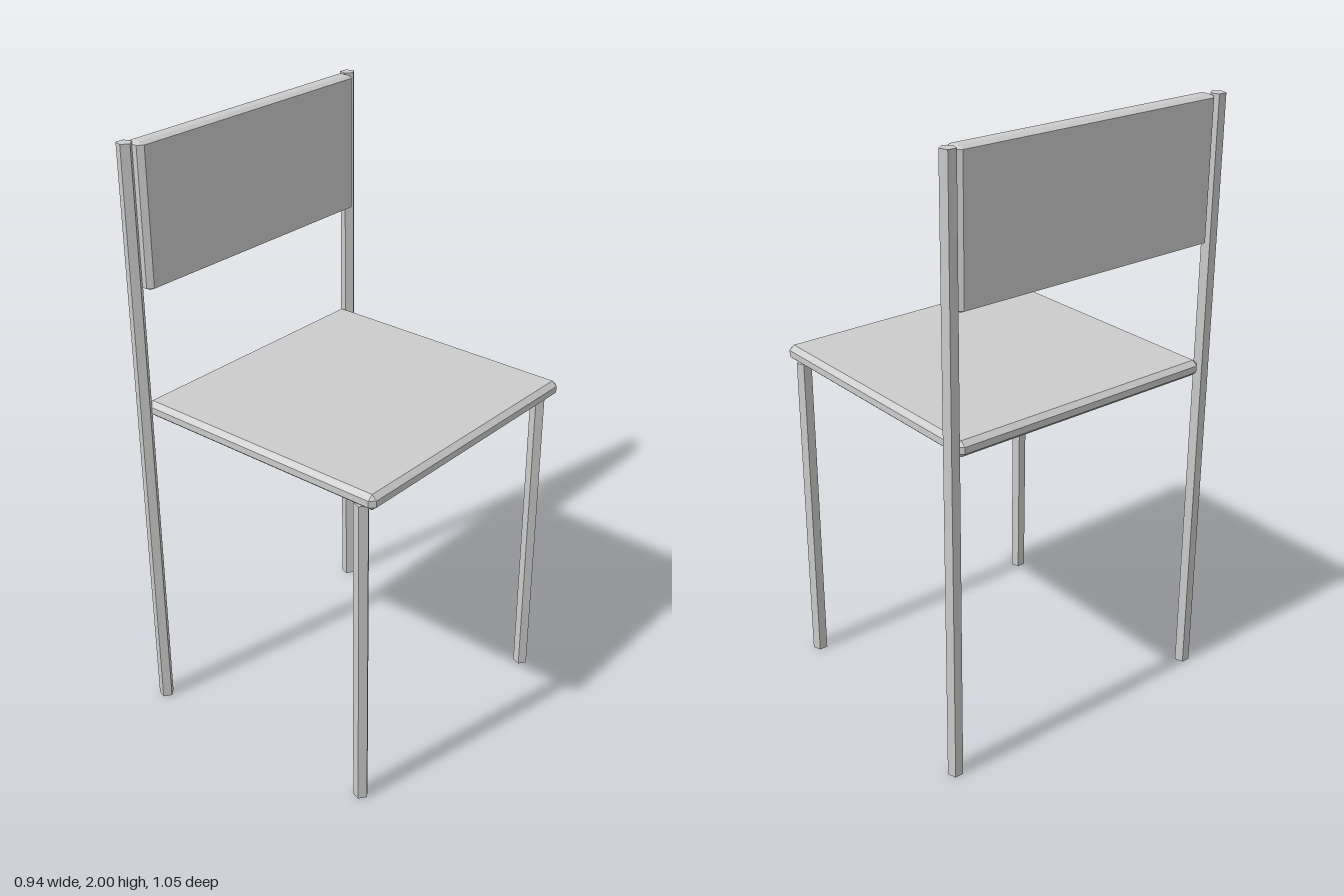
import * as THREE from 'three';
import { ConvexGeometry } from 'three/addons/geometries/ConvexGeometry.js';

const material = new THREE.MeshStandardMaterial({ color: 0xcccccc, flatShading: true });

// Box between two corners with chamfered edges; bevel gives the inset along each axis.
function chamferedBox(name, min, max, bevel) {
  const half = max.map((v, i) => (v - min[i]) / 2);
  const points = [];
  for (const sx of [-1, 1]) for (const sy of [-1, 1]) for (const sz of [-1, 1]) {
    for (let face = 0; face < 3; face++) {
      const p = [sx, sy, sz].map((s, i) => s * (half[i] - (i === face ? 0 : bevel[i])));
      points.push(new THREE.Vector3(...p));
    }
  }
  const mesh = new THREE.Mesh(new ConvexGeometry(points), material);
  mesh.name = name;
  mesh.position.set(...min.map((v, i) => (v + max[i]) / 2));
  return mesh;
}

// Five-sided upright rod standing on the floor, one corner pointing to +x.
function rod(name, x, z, height) {
  const geometry = new THREE.CylinderGeometry(0.025, 0.025, height, 5);
  geometry.rotateY(Math.PI / 2);
  const mesh = new THREE.Mesh(geometry, material);
  mesh.name = name;
  mesh.position.set(x, height / 2, z);
  return mesh;
}

export function createModel() {
  const chair = new THREE.Group();
  chair.name = 'chair';

  // Seat and backrest panels; the chair faces +x
  chair.add(chamferedBox('seat', [-0.465, 1.097, -0.481], [0.467, 1.149, 0.481], [0.017, 0.015, 0.017]));
  chair.add(chamferedBox('backrest', [-0.467, 1.537, -0.481], [-0.402, 2, 0.481], [0.016, 0.008, 0.017]));

  // Tall back posts and short front legs, mirrored in z
  for (const side of [-1, 1]) {
    chair.add(rod('backPost', -0.448, side * 0.499, 2));
    chair.add(rod('frontLeg', 0.405, side * 0.455, 1.1));
  }
  return chair;
}
